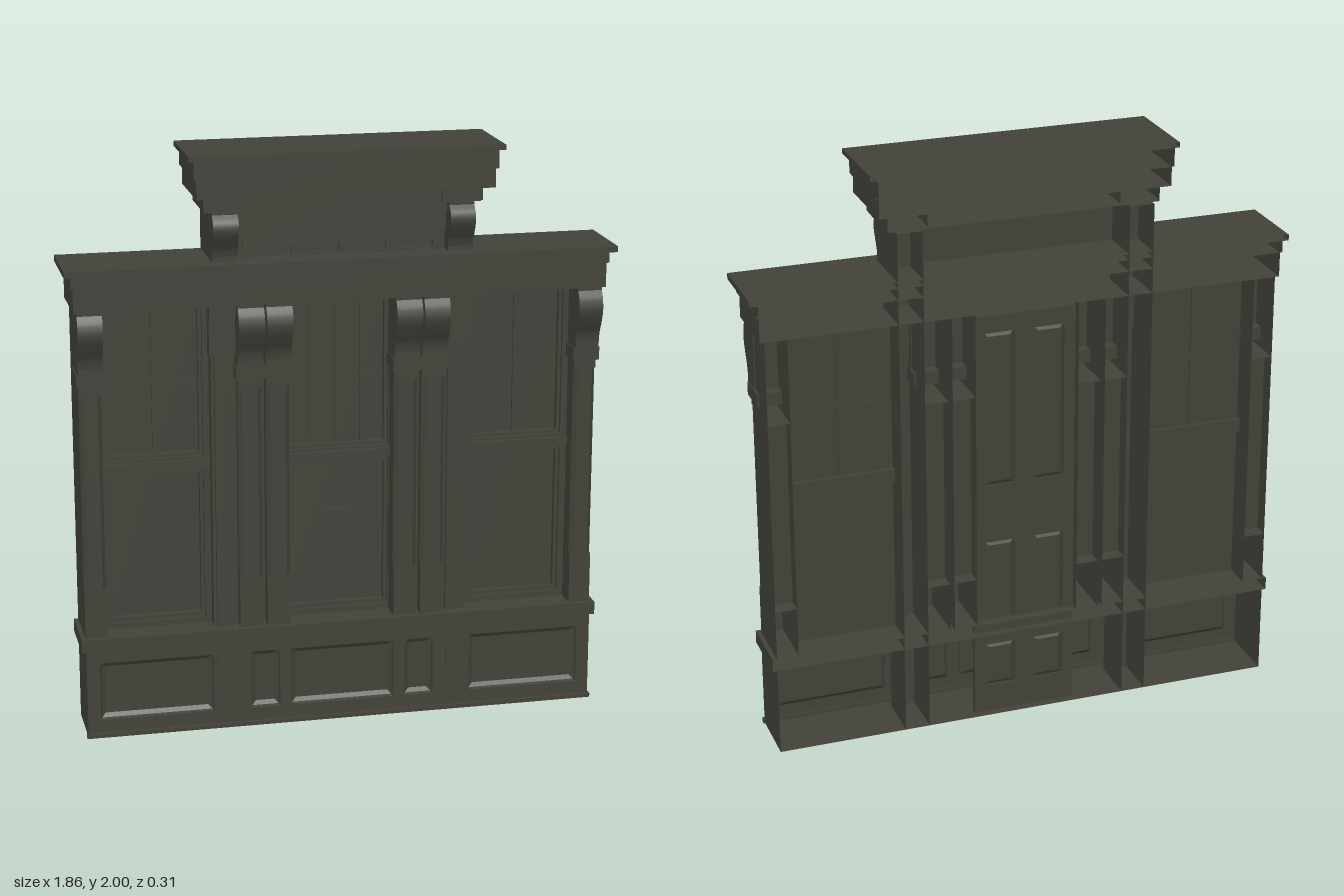
import * as THREE from 'three';

const BACK = -0.155;
const paint = new THREE.MeshStandardMaterial({ color: 0x42423a, side: THREE.DoubleSide });
paint.name = 'dark paint';

export function createModel() {
  const root = new THREE.Group();
  root.name = 'shopfront';

  const add = (name, geo) => {
    const m = new THREE.Mesh(geo, paint);
    m.name = name;
    root.add(m);
    return m;
  };
  // Box by limits; faces in skip (0 +x, 1 -x, 2 top, 3 bottom, 4 front, 5 back) are left open
  const box = (name, x0, x1, y0, y1, z0, z1, skip = []) => {
    const g = new THREE.BoxGeometry(x1 - x0, y1 - y0, z1 - z0);
    g.translate((x0 + x1) / 2, (y0 + y1) / 2, (z0 + z1) / 2);
    const idx = Array.from(g.index.array).filter((_, i) => !skip.includes(Math.floor(i / 6)));
    g.setIndex(idx);
    g.clearGroups();
    return add(name, g);
  };
  // Same box on both sides of the centre
  const pair = (name, x0, x1, ...rest) => {
    box(name, x0, x1, ...rest);
    box(name, -x1, -x0, ...rest);
  };
  const rect = (T, x0, x1, y0, y1) => new T([[x0, y0], [x1, y0], [x1, y1], [x0, y1]].map(p => new THREE.Vector2(...p)));
  // Flat board with rectangular openings
  const board = (name, lim, holes, z0, depth) => {
    const s = rect(THREE.Shape, ...lim);
    s.holes = holes.map(h => rect(THREE.Path, ...h));
    const g = depth ? new THREE.ExtrudeGeometry(s, { depth, bevelEnabled: false }) : new THREE.ShapeGeometry(s);
    add(name, g.translate(0, 0, z0));
  };
  // Bevelled recess stepping through nested rectangles given as [inset, z]
  const recess = (name, [x0, x1, y0, y1], steps) => {
    const rings = steps.map(([d, z]) => [[x0 + d, y0 + d, z], [x1 - d, y0 + d, z], [x1 - d, y1 - d, z], [x0 + d, y1 - d, z]]);
    const v = [];
    const quad = (a, b, c, d) => v.push(...a, ...b, ...c, ...a, ...c, ...d);
    for (let r = 0; r + 1 < rings.length; r++)
      for (let i = 0; i < 4; i++) {
        const j = (i + 1) % 4;
        quad(rings[r][i], rings[r][j], rings[r + 1][j], rings[r + 1][i]);
      }
    quad(...rings[rings.length - 1]);
    const g = new THREE.BufferGeometry();
    g.setAttribute('position', new THREE.Float32BufferAttribute(v, 3));
    g.computeVertexNormals();
    add(name, g);
  };
  // Scrolled bracket: side profile extruded across its width
  const corbel = (name, x0, x1, y0, y1, zTop, zBulge, zFoot) => {
    const h = y1 - y0;
    const s = new THREE.Shape();
    s.moveTo(-0.02, y0);
    s.lineTo(zFoot, y0);
    s.lineTo(zFoot, y0 + h * 0.1);
    s.splineThru([
      [zFoot + 0.006, y0 + h * 0.25], [zFoot + (zBulge - zFoot) * 0.6, y0 + h * 0.42],
      [zBulge, y0 + h * 0.62], [zBulge - 0.004, y0 + h * 0.8], [zTop, y0 + h * 0.95],
    ].map(p => new THREE.Vector2(...p)));
    s.lineTo(zTop, y1);
    s.lineTo(-0.02, y1);
    const g = new THREE.ExtrudeGeometry(s, { depth: x1 - x0, bevelEnabled: false, curveSegments: 16 });
    add(name, g.rotateY(-Math.PI / 2).translate(x1, 0, 0));
  };
  // Shaft with chamfered front corners
  const shaft = (x0, x1, y0, y1, z, c) => {
    const s = new THREE.Shape([[x0, 0.1], [x0, -z + c], [x0 + c, -z], [x1 - c, -z], [x1, -z + c], [x1, 0.1]]
      .map(p => new THREE.Vector2(...p)));
    const g = new THREE.ExtrudeGeometry(s, { depth: y1 - y0, bevelEnabled: false });
    add('pilasterShaft', g.rotateX(-Math.PI / 2).scale(1, 1, -1).scale(1, 1, -1).translate(0, y0, 0));
  };

  // Base with recessed panels
  const panels = [[-0.84, -0.45, 0.06, 0.265], [-0.32, -0.22, 0.06, 0.265], [-0.18, 0.18, 0.06, 0.265],
    [0.22, 0.32, 0.06, 0.265], [0.45, 0.84, 0.06, 0.265]];
  board('baseFront', [-0.885, 0.885, 0, 0.31], panels, 0.057, 0);
  for (const p of panels) recess('basePanel', p, [[0, 0.057], [0.004, 0.045], [0.018, 0.036]]);
  box('baseBody', -0.885, 0.885, 0, 0.31, BACK, 0.057, [2, 4, 5]);
  box('plinth', -0.89, 0.89, 0, 0.014, 0.05, 0.07);
  box('sill', -0.9, 0.9, 0.31, 0.355, BACK, 0.068, [5]);
  pair('pilasterFoot', 0.365, 0.437, 0.16, 0.31, 0.05, 0.06);

  // Pilasters: outer pair and two beside each side of the doorway
  for (const s of [-1, 1])
    for (const [a, b] of [[0.81, 0.885], [0.275, 0.355], [0.18, 0.26]]) {
      const x0 = s > 0 ? a : -b, x1 = s > 0 ? b : -a;
      box('pilasterBlock', x0, x1, 0.355, 0.53, BACK, 0.05, [5]);
      shaft(x0, x1, 0.53, 1.2, 0.05, 0.013);
      box('pilasterReturn', x0, x1, 0.53, 1.2, BACK, -0.1, [2, 3, 4, 5]);
      box('pilasterNeck', x0, x1, 1.2, 1.49, BACK, 0.05, [5]);
      box('capital', x0 - 0.008, x1 + 0.008, 1.23, 1.275, -0.06, 0.062);
      corbel('corbel', x0 - 0.004, x1 + 0.004, 1.275, 1.49, 0.085, 0.104, 0.066);
    }

  // Set-back strips and tall inner partitions carrying the head
  pair('tallPartition', 0.355, 0.44, 0, 1.8, BACK, 0.015, [2, 3, 5]);
  pair('stripShaft', 0.37, 0.43, 0.355, 1.31, 0, 0.028);
  pair('stripBlock', 0.352, 0.448, 1.31, 1.44, 0, 0.035);
  pair('stripCap', 0.352, 0.448, 1.44, 1.49, 0, 0.045);
  pair('fillStrip', 0.26, 0.275, 0.355, 1.49, -0.02, 0.01);

  // Sash windows in three bays
  for (const [x0, x1, cols] of [[-0.81, -0.44, 2], [-0.18, 0.18, 4], [0.44, 0.81, 2]]) {
    const side = cols === 2;
    const a = x0 + (side ? 0.022 : 0.004), b = x1 - (side ? 0.022 : 0.004);
    board('windowFrame', [x0, x1, 0.355, 1.49], [[a, b, 0.375, 0.905], [a, b, 0.95, 1.47]], -0.055, 0.03);
    board('lowerSash', [a, b, 0.375, 0.905], [[a + 0.012, b - 0.012, 0.39, 0.89]], -0.06, 0.022);
    board('upperSash', [a, b, 0.95, 1.47], [[a + 0.012, b - 0.012, 0.962, 1.455]], -0.06, 0.022);
    box('meetingRail', x0, x1, 0.915, 0.94, -0.06, -0.01);
    box('glass', a, b, 0.375, 1.47, -0.064, -0.058);
    for (let i = 1; i < cols; i++) {
      const x = a + (b - a) * i / cols;
      box('glazingBar', x - 0.005, x + 0.005, 0.95, 1.47, -0.07, -0.05);
    }
    box('glazingBar', a, b, 1.195, 1.205, -0.07, -0.05);
    // Raised mouldings on the inner face
    if (side) box('innerRail', x0, x1, 0.9, 0.95, -0.08, -0.06);
  }
  box('letterSlot', -0.075, 0.075, 0.705, 0.725, -0.06, -0.045);

  // Panelled door leaf on the inner side
  const doorPanels = [];
  for (const [x0, x1] of [[-0.14, -0.035], [0.035, 0.14]])
    for (const [y0, y1] of [[0.1, 0.26], [0.34, 0.65], [0.86, 1.41]]) doorPanels.push([x0, x1, y0, y1]);
  board('doorLeaf', [-0.18, 0.18, 0, 1.47], doorPanels, -0.125, 0.02);
  for (const p of doorPanels) recess('doorPanel', p, [[0, -0.115], [0.014, -0.122]]);

  // Main cornice
  box('corniceFascia', -0.9, 0.9, 1.49, 1.61, BACK, 0.092, [2, 5]);
  box('corniceUpperBand', -0.908, 0.908, 1.575, 1.615, BACK, 0.098, [2, 5]);
  box('corniceCap', -0.93, 0.93, 1.615, 1.635, BACK, 0.12, [5]);

  // Raised head with transom light
  pair('headPier', 0.355, 0.44, 1.635, 1.8, BACK, 0.06, [5]);
  for (const x of [-0.44, 0.355]) corbel('headBracket', x, x + 0.085, 1.635, 1.8, 0.08, 0.104, 0.07);
  const lights = [0, 1, 2, 3].map(i => [-0.315 + i * 0.16, -0.165 + i * 0.16, 1.642, 1.668]);
  board('transomFrame', [-0.355, 0.355, 1.635, 1.8], lights, 0.0, 0.02);
  box('transomGlass', -0.33, 0.33, 1.636, 1.68, 0.0, 0.006);
  box('transomMould', -0.33, 0.33, 1.672, 1.684, 0.015, 0.032);
  for (const [y, z] of [[1.705, 0.03], [1.73, 0.038], [1.76, 0.046]])
    box('headMoulding', -0.355, 0.355, y, 1.8, 0.01, z, [5]);
  box('headFrieze', -0.465, 0.465, 1.8, 1.855, -0.135, 0.072, [5]);
  pair('friezeBlock', 0.33, 0.468, 1.805, 1.855, -0.13, 0.084, [5]);
  box('crownFascia', -0.498, 0.498, 1.855, 1.975, BACK, 0.132, [2, 5]);
  box('crownUpperBand', -0.507, 0.507, 1.92, 1.985, BACK, 0.139, [2, 5]);
  box('crownCap', -0.525, 0.525, 1.983, 2, BACK, 0.155, [5]);

  return root;
}
